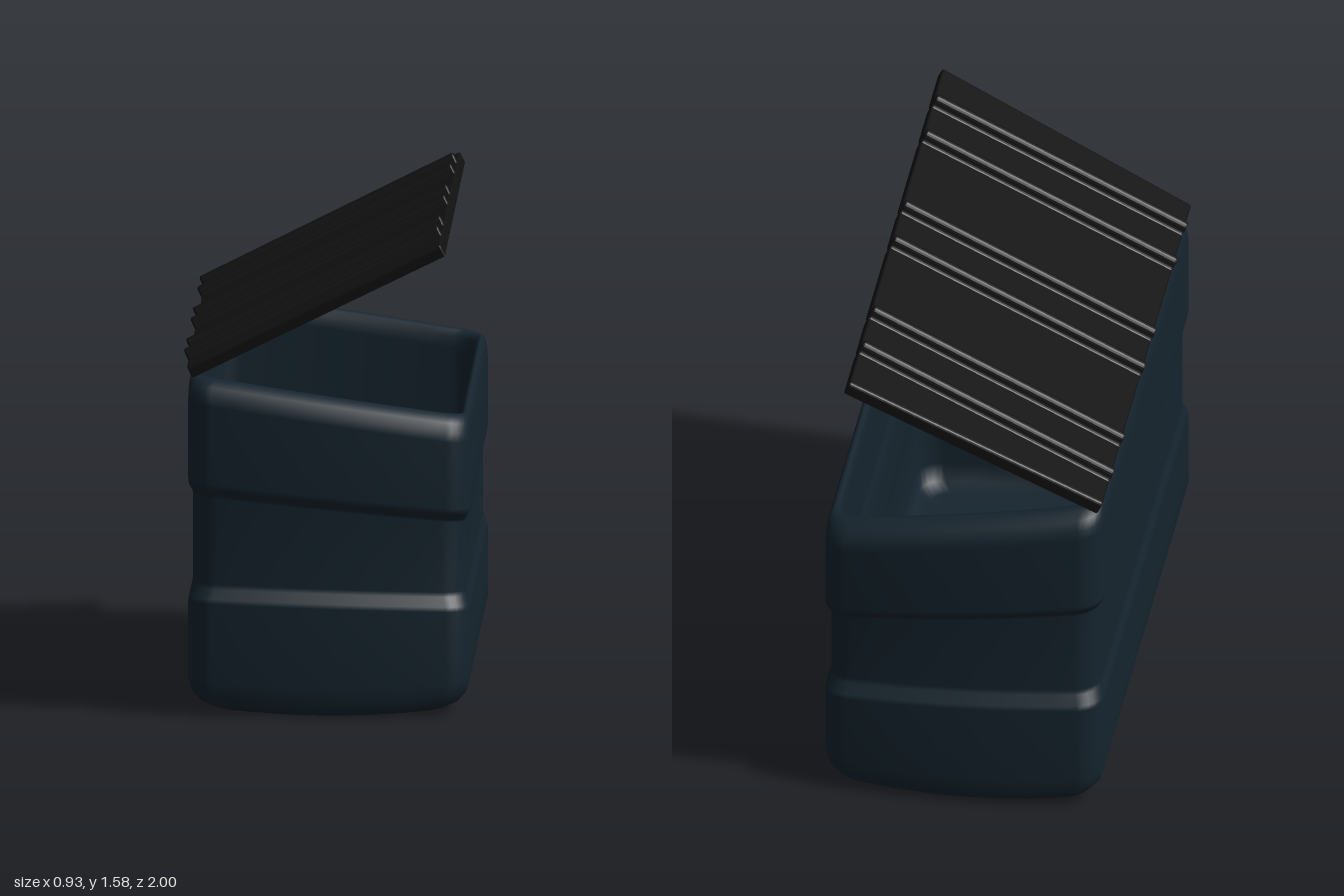
import * as THREE from 'three';

const HX = 0.455, HZ = 1.0;

// One closed horizontal loop: rounded rectangle with bowed ends, as [x, z]
function loop(dx, dz) {
  const a = Math.max(HX - dx, 0.001), b = Math.max(HZ - dz, 0.001);
  const r = Math.min(0.075, a * 0.9, b * 0.9), pts = [];
  const corner = (sx, sz, start) => {
    for (let i = 0; i <= 6; i++) {
      const t = start + (i / 6) * Math.PI / 2;
      pts.push([sx * (a - r) + r * Math.cos(t), sz * (b - r) + r * Math.sin(t)]);
    }
  };
  const end = (sz) => {
    for (let i = 1; i < 10; i++) pts.push([sz * (a - r) * (1 - i / 5), sz * b]);
  };
  corner(1, 1, 0);
  end(1);
  corner(-1, 1, Math.PI / 2);
  corner(-1, -1, Math.PI);
  end(-1);
  corner(1, -1, Math.PI * 1.5);
  return pts.map(([x, z]) => [x, z * (1 - 0.035 * (x / HX) ** 2)]);
}

// Skin through rings of [inset x, inset z, height, tilt along x, bow]
function skin(rings) {
  const pos = [], idx = [];
  let n = 0;
  for (const [dx, dz, y, tilt = 0, bow = 0] of rings) {
    const pts = loop(dx, dz);
    n = pts.length;
    for (const [x, z] of pts) pos.push(x + 0.005, y + tilt * x + bow * (x / HX) ** 2, z);
  }
  for (let j = 0; j < rings.length - 1; j++) {
    for (let i = 0; i < n; i++) {
      const a = j * n + i, b = j * n + (i + 1) % n;
      idx.push(a, a + n, b, b, a + n, b + n);
    }
  }
  const g = new THREE.BufferGeometry();
  g.setAttribute('position', new THREE.Float32BufferAttribute(pos, 3));
  g.setIndex(idx);
  g.computeVertexNormals();
  return g;
}

function makeBin() {
  const S = -0.148; // slope of the rim
  return skin([
    // underside
    [HX, HZ, 0.005], [0.2, 0.2, 0.005, 0, 0.03], [0.08, 0.045, 0.007, 0, 0.03],
    [0.04, 0.015, 0.022, 0, 0.03], [0.012, 0.004, 0.05, 0, 0.03], [0, 0, 0.1, 0, 0.02],
    // outer wall with recessed waist
    [0, 0, 0.2, -0.01], [0, 0, 0.36, -0.03], [0.003, 0.006, 0.375, -0.03], [0.012, 0.029, 0.405, -0.03],
    [0.015, 0.035, 0.42, -0.03], [0.015, 0.035, 0.675, -0.1], [0.013, 0.031, 0.685, -0.1],
    [0.003, 0.006, 0.705, -0.1], [0, 0, 0.725, -0.1],
    // rolled rim
    [0, 0, 0.96, S], [0.001, 0.006, 0.99, S], [0.004, 0.024, 1.02, S], [0.01, 0.05, 1.038, S],
    [0.018, 0.075, 1.044, S], [0.028, 0.1, 1.038, S], [0.034, 0.115, 1.02, S], [0.036, 0.12, 0.98, S],
    // inner wall
    [0.036, 0.12, 0.74, -0.1], [0.039, 0.125, 0.71, -0.1], [0.05, 0.145, 0.68, -0.1],
    [0.05, 0.145, 0.43, -0.03], [0.039, 0.125, 0.39, -0.03], [0.036, 0.12, 0.36, -0.03],
    // floor
    [0.036, 0.12, 0.14], [0.05, 0.13, 0.08], [0.09, 0.17, 0.06], [0.25, 0.35, 0.055], [HX, HZ, 0.055],
  ]);
}

// Lid: ribbed section swept from the hinge to the free edge
function makeLid() {
  const ribs = [-0.775, -0.555, -0.11, 0.11, 0.555, 0.775];
  const T = 0.042, length = 0.917, bevel = 0.006;
  const s = new THREE.Shape();
  s.moveTo(-0.995, 0);
  for (const c of ribs) { // shallow grooves below
    s.lineTo(c - 0.022, 0);
    s.lineTo(c - 0.012, 0.012);
    s.lineTo(c + 0.012, 0.012);
    s.lineTo(c + 0.022, 0);
  }
  s.lineTo(0.995, 0);
  s.lineTo(0.995, T - 0.014);
  s.quadraticCurveTo(0.995, T, 0.981, T);
  for (const c of [...ribs].reverse()) { // raised ribs above
    s.lineTo(c + 0.03, T);
    s.quadraticCurveTo(c + 0.022, T + 0.004, c + 0.02, T + 0.018);
    s.quadraticCurveTo(c + 0.016, T + 0.034, c, T + 0.034);
    s.quadraticCurveTo(c - 0.016, T + 0.034, c - 0.02, T + 0.018);
    s.quadraticCurveTo(c - 0.022, T + 0.004, c - 0.03, T);
  }
  s.lineTo(-0.981, T);
  s.quadraticCurveTo(-0.995, T, -0.995, T - 0.014);
  s.closePath();
  const g = new THREE.ExtrudeGeometry(s, {
    depth: length - 2 * bevel, curveSegments: 4,
    bevelSize: bevel, bevelThickness: bevel, bevelOffset: -bevel, bevelSegments: 2,
  });
  g.translate(0, 0, bevel);
  g.rotateY(Math.PI / 2);
  // narrow the outer edges towards the hinge
  const p = g.attributes.position;
  for (let i = 0; i < p.count; i++) {
    const z = p.getZ(i);
    if (Math.abs(z) > 0.9) p.setZ(i, z - Math.sign(z) * 0.05 * (1 - p.getX(i) / length));
  }
  g.computeVertexNormals();
  return g;
}

export function createModel() {
  const model = new THREE.Group();
  model.name = 'storageBin';
  const bin = new THREE.Mesh(makeBin(), new THREE.MeshStandardMaterial({ color: 0x15242e }));
  bin.name = 'binBody';
  const lid = new THREE.Mesh(makeLid(), new THREE.MeshStandardMaterial({ color: 0x111111 }));
  lid.name = 'openLid';
  lid.position.set(-0.435, 1.105, 0);
  lid.rotation.z = 0.464;
  model.add(bin, lid);
  return model;
}
